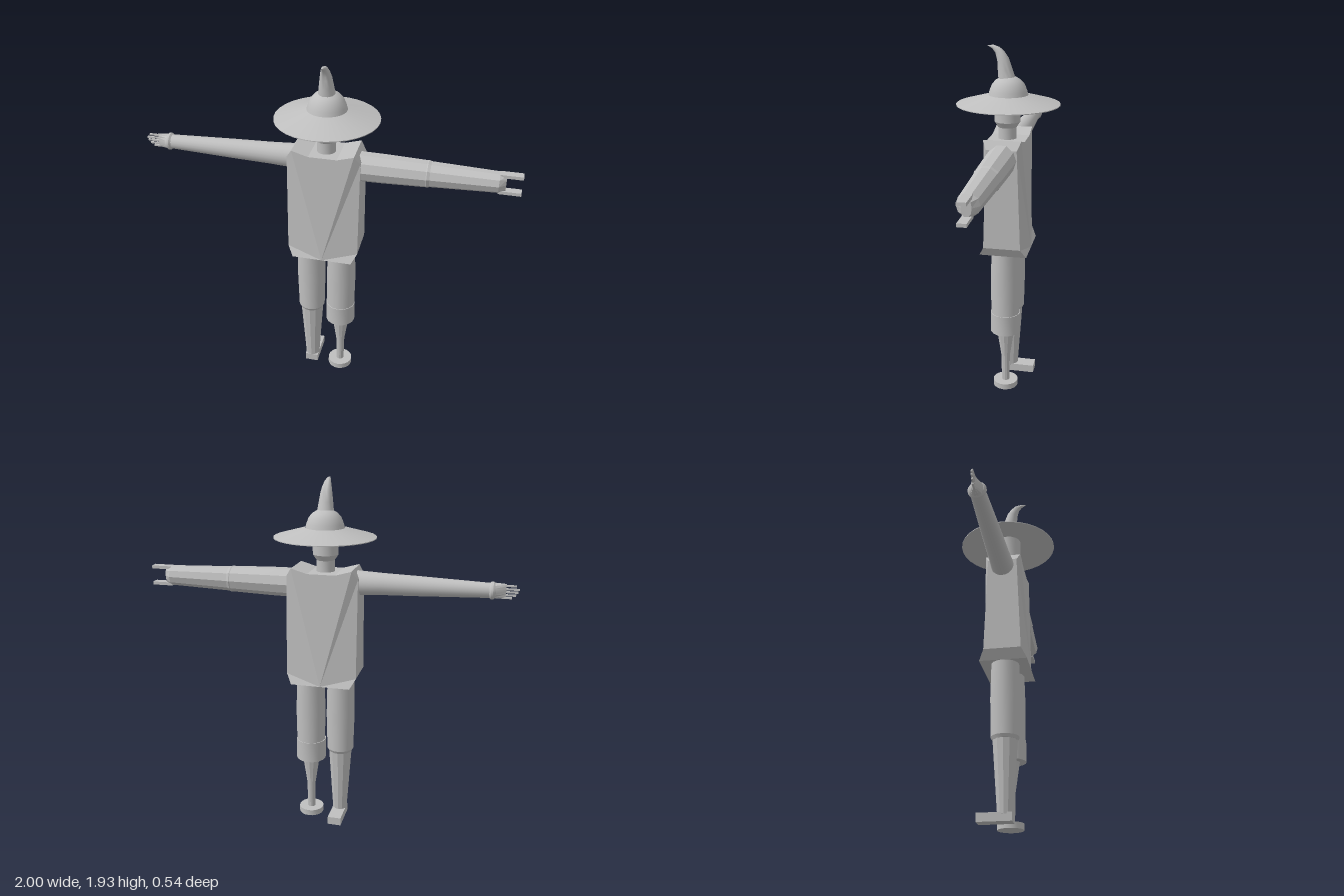
import * as THREE from 'three';
import { toCreasedNormals } from 'three/addons/utils/BufferGeometryUtils.js';

const grey = new THREE.MeshStandardMaterial({ color: 0xbfbfbf });
grey.name = 'plain grey';

export function createModel() {
  const model = new THREE.Group();
  model.name = 'figure';

  const add = (name, geo, x = 0, y = 0, z = 0, crease = 0.4) => {
    const mesh = new THREE.Mesh(toCreasedNormals(geo, crease), grey);
    mesh.name = name;
    mesh.position.set(x, y, z);
    model.add(mesh);
    return mesh;
  };
  // profile entries are [radius, height], listed from the bottom up
  const turned = (profile, sides) =>
    new THREE.LatheGeometry(profile.map(([r, h]) => new THREE.Vector2(r, h)), sides);
  const box = (name, w, h, d, x, y, z) => add(name, new THREE.BoxGeometry(w, h, d), x, y, z);

  // Torso: eight-cornered outline, thicker at the hem, thinner at the flanks
  const outline = [ // x, y, half depth
    [0, 0.842, 0.128], [0.163, 0.842, 0.128], [0.193, 0.895, 0.1], [0.193, 1.435, 0.08],
    [0.163, 1.48, 0.099], [0.075, 1.455, 0.1], [0, 1.455, 0.1],
  ];
  const ring = [...outline, ...outline.slice(1, -1).reverse().map(([x, y, d]) => [-x, y, d])];
  const n = ring.length;
  const verts = [
    ...ring.flatMap(([x, y, d]) => [x, y, d]),
    ...ring.flatMap(([x, y, d]) => [x, y, -d]),
  ];
  const faces = [];
  for (let i = 0; i < n; i++) {
    const j = (i + 1) % n;
    faces.push(i, i + n, j, j, i + n, j + n); // rim
    if (i > 0 && j > 0) faces.push(0, i, j, n, n + j, n + i); // front and back
  }
  const torso = new THREE.BufferGeometry();
  torso.setAttribute('position', new THREE.Float32BufferAttribute(verts, 3));
  torso.setIndex(faces);
  add('torso', torso, 0.003, 0, 0, 0.1);

  // Neck and head
  add('head', turned([[0.049, 1.43], [0.049, 1.515], [0.069, 1.545], [0.069, 1.67]], 16), 0.003, 0, 0.005);

  // Hat brim and crown
  add('hatBrim', turned([[0.05, 1.68], [0.1, 1.676], [0.271, 1.634], [0.271, 1.638], [0.104, 1.685]], 32), 0.005);
  add('hatCrown', turned([[0.104, 1.683], [0.098, 1.705], [0.085, 1.738], [0.065, 1.76], [0.04, 1.775], [0, 1.78]], 32),
    0.005, 0, 0, 0.7);

  // Curled hat point: rings of [radius, y, z, forward tilt]
  const curl = [
    [0.046, 1.755, 0.005, 0], [0.038, 1.81, 0.017, 0.15], [0.031, 1.86, 0.027, 0.3],
    [0.025, 1.887, 0.04, 0.55], [0.018, 1.91, 0.056, 0.85], [0.01, 1.925, 0.08, 1.2], [0.001, 1.931, 0.108, 1.5],
  ];
  const point = turned(curl, 20);
  const p = point.attributes.position;
  for (let i = 0; i < p.count; i++) {
    const [, y, z, tilt] = curl[i % curl.length];
    const across = p.getZ(i);
    p.setY(i, y - Math.sin(tilt) * across);
    p.setZ(i, z + Math.cos(tilt) * across);
  }
  add('hatPoint', point, 0.005, 0, 0, 0.8);

  // Right arm, smooth, with a flared cuff
  add('rightArm', turned([[0.066, 0.15], [0.058, 0.3], [0.052, 0.5], [0.038, 0.865]], 20).rotateZ(Math.PI / 2), 0, 1.402);
  add('rightCuff', turned([[0.036, 0.85], [0.046, 0.862], [0.046, 0.872], [0.036, 0.885], [0, 0.885]], 20)
    .rotateZ(Math.PI / 2), 0, 1.402);

  // Right hand: wedge-shaped palm and flat fingers
  const palm = turned([[0.042, 0.87], [0.038, 0.935], [0, 0.935]], 16).rotateZ(Math.PI / 2);
  const q = palm.attributes.position;
  for (let i = 0; i < q.count; i++) if (q.getX(i) < -0.9) q.setZ(i, q.getZ(i) * 0.12);
  add('rightPalm', palm, 0, 1.402);
  [[1.43, 0.985], [1.413, 1], [1.398, 0.995], [1.382, 0.985], [1.368, 0.965]].forEach(([y, tip]) =>
    box('finger', tip - 0.91, 0.009, 0.009, -(tip + 0.91) / 2, y, 0));

  // Left arm: faceted upper part and sleeve
  add('leftUpperArm', turned([[0.079, 0.15], [0.077, 0.3], [0.07, 0.53]], 10).rotateZ(-Math.PI / 2), 0, 1.383, 0, 0.1);
  add('leftForearm', turned([[0.066, 0.515], [0.072, 0.53], [0.067, 0.545], [0.055, 0.885]], 10)
    .rotateZ(-Math.PI / 2), 0, 1.383, 0, 0.1);
  const stump = turned([[0.055, 0.885], [0.045, 0.92], [0, 0.92]], 10).rotateZ(-Math.PI / 2);
  const s = stump.attributes.position;
  for (let i = 0; i < s.count; i++) if (s.getX(i) > 0.9) s.setZ(i, s.getZ(i) * 0.55);
  add('leftArmEnd', stump, 0, 1.383, 0, 0.1);
  for (const side of [-1, 1]) box('prong', 0.115, 0.017, 0.044, 0.9425, 1.381 + side * 0.046, 0);

  // Right leg and its backward-pointing foot
  add('rightThigh', turned([[0, 0.42], [0.066, 0.42], [0.075, 0.437], [0.08, 0.65], [0.075, 0.86]], 16), -0.085);
  add('rightShin', turned([[0, 0.04], [0.04, 0.04], [0.066, 0.425]], 12), -0.084, 0, 0, 0.2);
  box('rightFoot', 0.075, 0.045, 0.18, -0.083, 0.0275, -0.05);

  // Left leg: thigh, cuff, peg and round base
  add('leftThigh', turned([[0.08, 0.46], [0.083, 0.65], [0.077, 0.86]], 16), 0.088);
  add('legCuff', turned([[0, 0.355], [0.084, 0.355], [0.084, 0.473], [0.07, 0.473]], 16), 0.087);
  add('pegLeg', turned([[0.022, 0.02], [0.025, 0.19], [0.05, 0.36]], 12), 0.088, 0, 0, 0.2);
  add('pegBase', turned([[0, 0], [0.07, 0], [0.07, 0.033], [0, 0.033]], 20), 0.088);

  return model;
}
